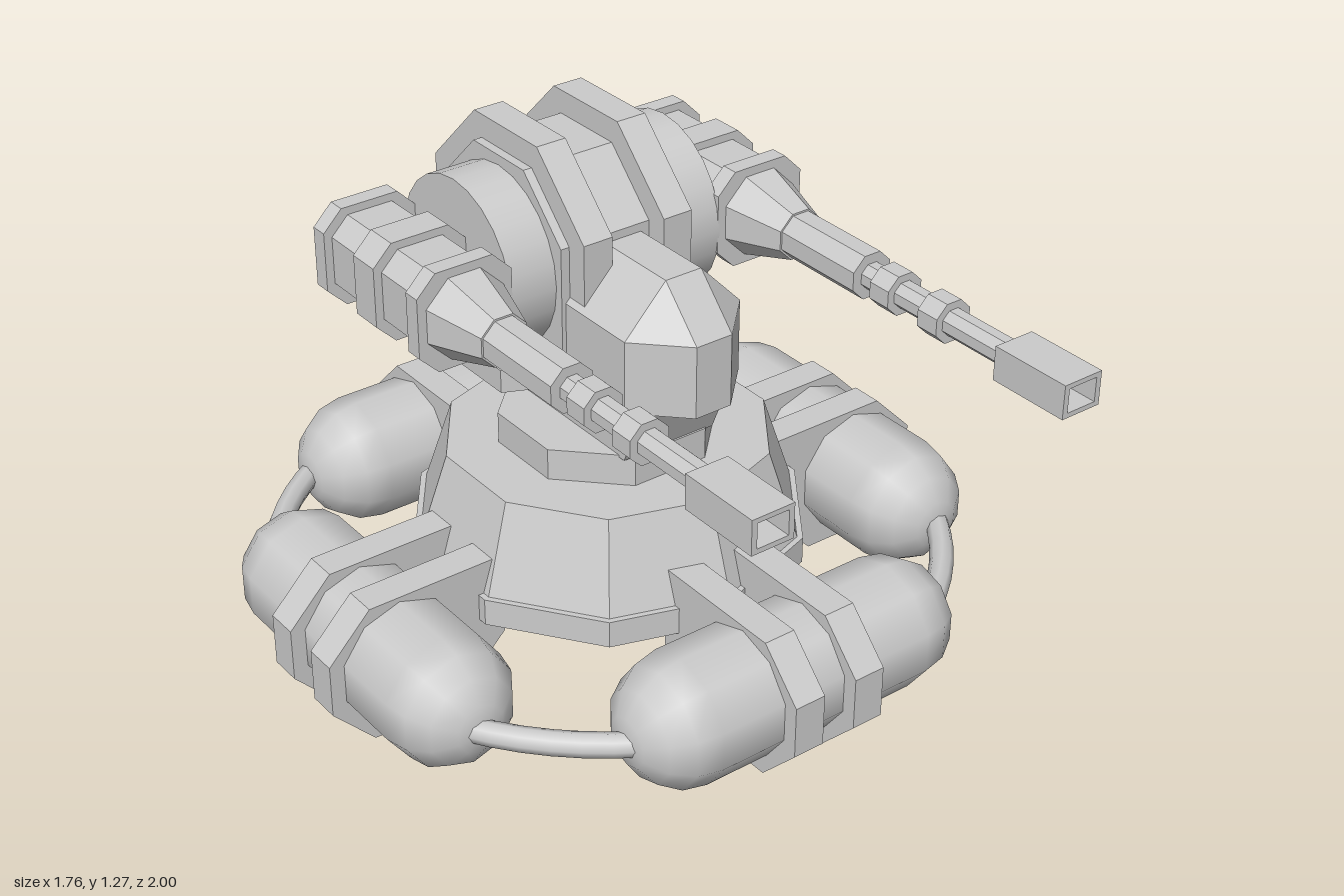
import * as THREE from 'three';
import { ConvexGeometry } from 'three/addons/geometries/ConvexGeometry.js';

const smooth = new THREE.MeshStandardMaterial({ color: 0xcccccc });
const flat = new THREE.MeshStandardMaterial({ color: 0xcccccc, flatShading: true });
const BASE_Z = -0.122;

function add(parent, name, geometry, material = flat, x = 0, y = 0, z = 0) {
  const mesh = new THREE.Mesh(geometry, material);
  mesh.name = name;
  mesh.position.set(x, y, z);
  parent.add(mesh);
  return mesh;
}

// Outline in x, y extruded along z and centred on it
function prism(points, depth, hole) {
  const shape = new THREE.Shape(points.map(p => new THREE.Vector2(...p)));
  if (hole) shape.holes.push(new THREE.Path(hole.map(p => new THREE.Vector2(...p))));
  const g = new THREE.ExtrudeGeometry(shape, { depth, bevelEnabled: false });
  return g.translate(0, 0, -depth / 2);
}

// Outline in z, y extruded along x
const sidePrism = (points, width) => prism(points, width).rotateY(-Math.PI / 2);

const rect = (w, h) => [[-w, -h], [w, -h], [w, h], [-w, h]];

// Rectangle with cut corners
const cutRect = (w, h, c) => [
  [-w + c, -h], [w - c, -h], [w, -h + c], [w, h - c],
  [w - c, h], [-w + c, h], [-w, h - c], [-w, -h + c]];

// Round section along z from z0 to z1
function barrelPart(r0, r1, z0, z1, sides) {
  const g = new THREE.CylinderGeometry(r1, r0, z1 - z0, sides);
  return g.rotateY(Math.PI / sides).rotateX(Math.PI / 2).translate(0, 0, (z0 + z1) / 2);
}

function createBase() {
  const base = new THREE.Group();
  base.name = 'base';
  base.position.z = BASE_Z;
  add(base, 'baseRim', new THREE.CylinderGeometry(0.495, 0.495, 0.07, 10), flat, 0, 0.245);
  add(base, 'baseCone', new THREE.CylinderGeometry(0.405, 0.48, 0.225, 10), flat, 0, 0.3925);
  const collar = new THREE.CylinderGeometry(0.27, 0.27, 0.085, 8).rotateY(Math.PI / 8);
  add(base, 'collar', collar, flat, 0, 0.5435);

  // Four float tanks with paired clamps, joined by curved pipes
  const clamp = sidePrism([[0.4, 0.15], [0.55, 0], [0.77, 0], [0.878, 0.115],
    [0.878, 0.25], [0.765, 0.365], [0.4, 0.365]], 0.083);
  const tank = new THREE.CapsuleGeometry(0.163, 0.604, 4, 10).rotateZ(Math.PI / 2);
  const pipe = new THREE.TorusGeometry(0.825, 0.03, 8, 6, 0.5)
    .rotateZ(Math.PI / 4 - 0.25).rotateX(Math.PI / 2);
  for (let i = 0; i < 4; i++) {
    const side = new THREE.Group();
    side.name = 'floatUnit';
    side.rotation.y = i * Math.PI / 2;
    add(side, 'floatTank', tank, smooth, 0, 0.19, 0.685);
    for (const x of [-0.087, 0.087]) add(side, 'tankClamp', clamp, flat, x);
    add(side, 'connectingPipe', pipe, smooth, 0, 0.187, 0);
    base.add(side);
  }
  return base;
}

function createHead() {
  const head = new THREE.Group();
  head.name = 'head';
  const yoke = sidePrism([[0.12, 0.58], [0.19, 0.745], [0.15, 0.9], [-0.3, 0.9],
    [-0.53, 0.72], [-0.53, 0.7], [-0.365, 0.58]], 0.26);
  add(head, 'yoke', yoke);

  // Plate with cut corners below the drum
  const plate = prism([[-0.3, -0.2], [-0.1, -0.29], [0.1, -0.29], [0.3, -0.2],
    [0.3, 0.2], [0.1, 0.29], [-0.1, 0.29], [-0.3, 0.2]], 0.06).rotateX(Math.PI / 2);
  add(head, 'drumPlate', plate, flat, 0, 0.735, -0.33);

  // Drum lying across the head, with a faceted belt and two arched bands
  const drum = new THREE.CylinderGeometry(0.225, 0.225, 0.6, 24).rotateZ(Math.PI / 2);
  add(head, 'drum', drum, smooth, 0, 0.965, -0.3);
  const arch = (r, bottom) => {
    const t = r * Math.tan(Math.PI / 8);
    return [[-r, bottom], [r, bottom], [r, t], [t, r], [-t, r], [-r, t]];
  };
  add(head, 'drumBelt', sidePrism(arch(0.245, -0.23), 0.352), flat, 0, 0.97, -0.3);
  for (const x of [-0.113, 0.113])
    add(head, 'drumBand', sidePrism(arch(0.305, -0.235), 0.08), flat, x, 0.97, -0.303);

  // Faceted nose with a sloping roof
  const nose = [];
  for (const s of [-1, 1]) {
    for (const y of [0.745, 0.93])
      for (const [x, z] of [[0.165, -0.2], [0.165, 0.17], [0.05, 0.285]])
        nose.push(new THREE.Vector3(s * x, y, z));
    nose.push(new THREE.Vector3(s * 0.05, 1.05, 0.17), new THREE.Vector3(s * 0.05, 1.05, -0.2));
  }
  add(head, 'nose', new ConvexGeometry(nose));
  return head;
}

function createGun(side) {
  const gun = new THREE.Group();
  gun.name = side > 0 ? 'leftGun' : 'rightGun';
  gun.position.set(side * 0.422, 0.98, 0);

  // Ribbed housing
  add(gun, 'gunHousing', prism(cutRect(0.105, 0.105, 0.045), 0.42), flat, 0, 0, -0.3);
  for (const [z, depth] of [[-0.1, 0.045], [-0.3, 0.085], [-0.495, 0.045]])
    add(gun, 'housingRib', prism(cutRect(0.126, 0.125, 0.05), depth), flat, 0, 0, z);

  // Barrel sections
  add(gun, 'barrelCone', barrelPart(0.112, 0.065, -0.08, 0.075, 8));
  add(gun, 'barrelSleeve', barrelPart(0.06, 0.06, 0.07, 0.33, 8));
  add(gun, 'barrel', barrelPart(0.034, 0.034, 0.33, 0.82, 8));
  for (const z of [0.38, 0.54]) add(gun, 'barrelRing', barrelPart(0.054, 0.054, z, z + 0.062, 8));

  // Hollow square muzzle
  add(gun, 'muzzle', prism(rect(0.054, 0.042), 0.21, rect(0.04, 0.03)), flat, 0, 0, 0.895);
  add(gun, 'muzzleBack', new THREE.BoxGeometry(0.1, 0.078, 0.02), flat, 0, 0, 0.801);
  return gun;
}

export function createModel() {
  const model = new THREE.Group();
  model.name = 'turret';
  model.add(createBase(), createHead(), createGun(1), createGun(-1));
  return model;
}
